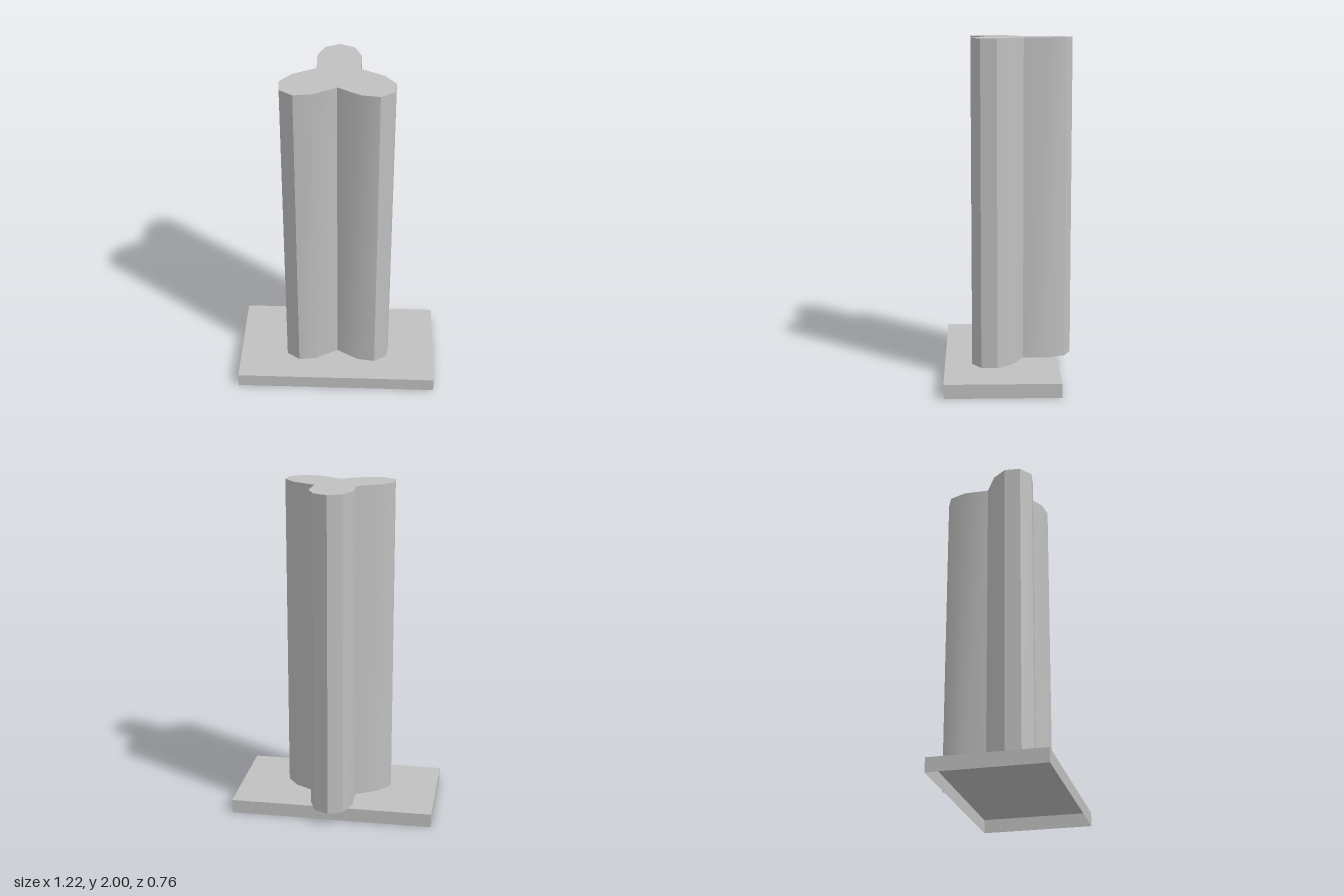
import * as THREE from 'three';
import { toCreasedNormals } from 'three/addons/utils/BufferGeometryUtils.js';

const BASE_TOP = 0.083, TOP = 2, CENTRE_Z = -0.017;

// Three-lobed outline, one lobe repeated every 120 degrees; points are (x, z)
function lobedOutline() {
  const lobe = [[0, 0.363], [0.086, 0.323], [0.126, 0.223], [0.123, 0.071]]; // [sideways, outward]
  const points = [];
  for (let i = 0; i < 3; i++) {
    const a = -Math.PI / 2 + (i * Math.PI * 2) / 3;
    const c = Math.cos(a), s = Math.sin(a);
    // left half of the lobe is the mirrored right half
    const half = [[-0.126, 0.223], [-0.086, 0.323], ...lobe];
    for (const [side, out] of half) {
      points.push(new THREE.Vector2(c * out - s * side, s * out + c * side + CENTRE_Z));
    }
  }
  return points;
}

// Upright walls along a closed outline, open at both ends
function wallGeometry(outline, y0, y1) {
  const pos = [];
  outline.forEach((a, i) => {
    const b = outline[(i + 1) % outline.length];
    pos.push(a.x, y0, a.y, a.x, y1, a.y, b.x, y0, b.y);
    pos.push(b.x, y0, b.y, a.x, y1, a.y, b.x, y1, b.y);
  });
  const geo = new THREE.BufferGeometry();
  geo.setAttribute('position', new THREE.Float32BufferAttribute(pos, 3));
  return toCreasedNormals(geo, THREE.MathUtils.degToRad(32));
}

export function createModel() {
  const model = new THREE.Group();
  model.name = 'lobedColumnOnBase';
  const grey = new THREE.MeshStandardMaterial({ color: 0xc0c0c0, side: THREE.DoubleSide });
  grey.name = 'light grey';

  const add = (name, geometry) => {
    const mesh = new THREE.Mesh(geometry, grey);
    mesh.name = name;
    model.add(mesh);
    return mesh;
  };

  // Base: thin-walled tray, open underneath
  const box = new THREE.BoxGeometry(1.216, BASE_TOP, 0.67);
  const index = Array.from(box.index.array);
  index.splice(18, 6); // drop the bottom face
  box.setIndex(index);
  box.clearGroups();
  add('base', box).position.set(0, BASE_TOP / 2, 0.045);

  // Column: hollow lobed shaft with a flat cap
  const outline = lobedOutline();
  add('columnShaft', wallGeometry(outline, BASE_TOP, TOP));
  const capShape = new THREE.Shape(outline.map((p) => new THREE.Vector2(p.x, -p.y)));
  const cap = new THREE.ShapeGeometry(capShape);
  cap.rotateX(-Math.PI / 2);
  add('columnCap', cap).position.y = TOP;

  return model;
}
